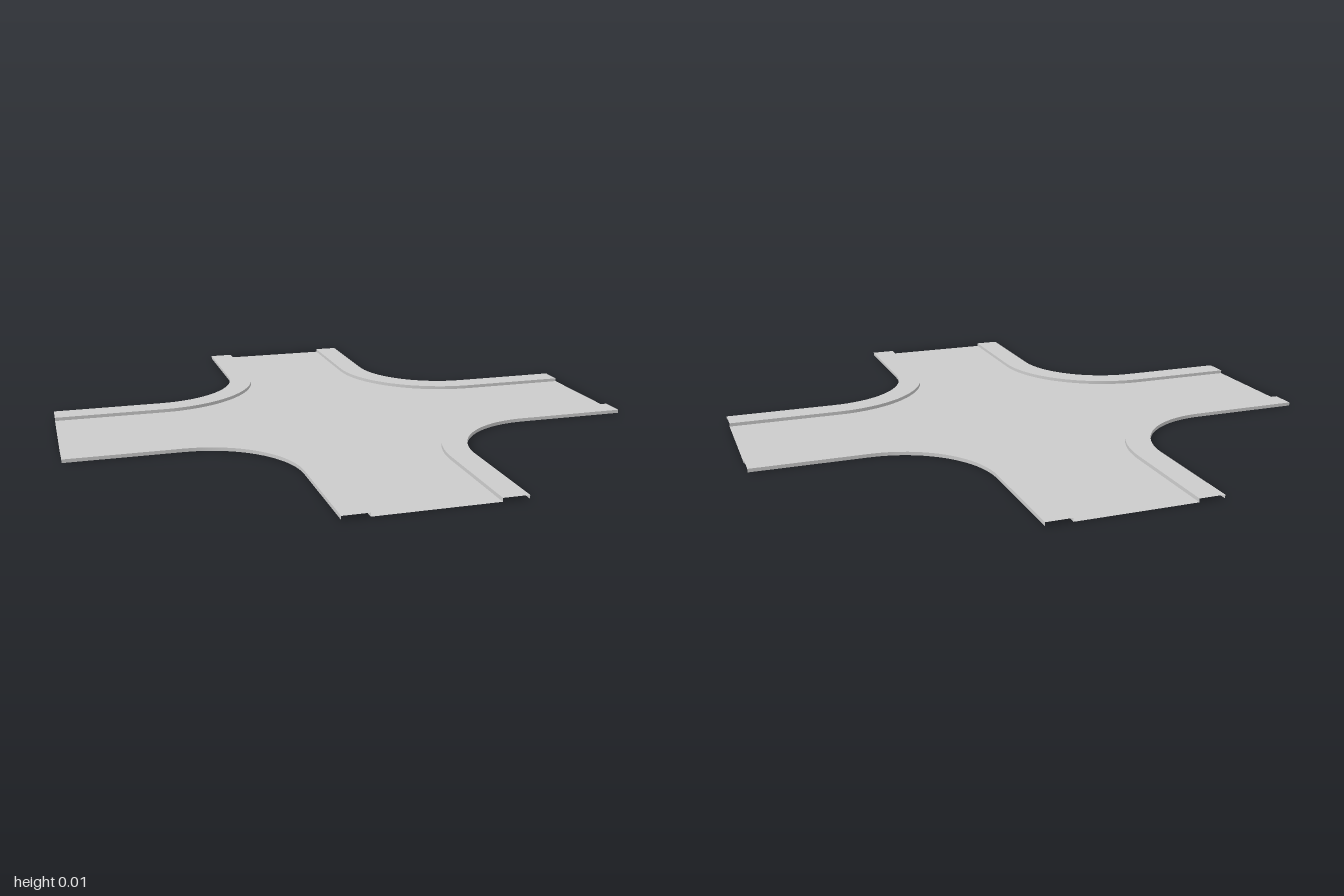
import * as THREE from 'three';

const C = 0.61;        // centre of the corner arcs in x and z
const R_OUTER = 0.324; // radius of the pavement's outer edge
const R_KERB = 0.41;   // radius of the kerb, next to the road
const H = 0.012;       // pavement height
const STEPS = 20;

// Line in the +x +z quadrant: straight from one arm end, round the corner, straight to the other
function cornerLine(r) {
  const points = [new THREE.Vector2(1, C - r)];
  for (let i = 0; i <= STEPS; i++) {
    const a = -Math.PI / 2 * (1 + i / STEPS);
    points.push(new THREE.Vector2(C + r * Math.cos(a), C + r * Math.sin(a)));
  }
  points.push(new THREE.Vector2(C - r, 1));
  return points;
}

// Ribbon between two corner lines, each given as [radius, height]
function ribbon([rA, yA], [rB, yB]) {
  const a = cornerLine(rA), b = cornerLine(rB);
  const positions = [], index = [];
  a.forEach((p, i) => {
    positions.push(p.x, yA, p.y, b[i].x, yB, b[i].y);
    if (i > 0) {
      const k = 2 * i;
      index.push(k - 2, k - 1, k, k - 1, k + 1, k);
    }
  });
  const geometry = new THREE.BufferGeometry();
  geometry.setAttribute('position', new THREE.Float32BufferAttribute(positions, 3));
  geometry.setIndex(index);
  geometry.computeVertexNormals();
  return geometry;
}

export function createModel() {
  const model = new THREE.Group();
  model.name = 'crossroads';
  const material = new THREE.MeshStandardMaterial({ color: 0xcccccc, side: THREE.DoubleSide });

  // Flat road surface, outlined by the four kerb lines
  const outline = [];
  for (let q = 0; q < 4; q++) {
    for (const p of cornerLine(R_KERB)) {
      outline.push(p.rotateAround(new THREE.Vector2(), q * Math.PI / 2));
    }
  }
  // The corner lines run from +x to +z, so the quarters follow on from each other
  const roadGeometry = new THREE.ShapeGeometry(new THREE.Shape(outline));
  roadGeometry.rotateX(-Math.PI / 2);
  const road = new THREE.Mesh(roadGeometry, material);
  road.name = 'road';
  model.add(road);

  // Raised pavement at each corner: outer wall, top and kerb, open below and at the ends
  const parts = {
    outerWall: ribbon([R_OUTER, 0], [R_OUTER, H]),
    pavementTop: ribbon([R_OUTER, H], [R_KERB, H]),
    kerb: ribbon([R_KERB, H], [R_KERB, 0]),
  };
  for (let q = 0; q < 4; q++) {
    const pavement = new THREE.Group();
    pavement.name = `pavement${q + 1}`;
    pavement.rotation.y = q * Math.PI / 2;
    for (const [name, geometry] of Object.entries(parts)) {
      const mesh = new THREE.Mesh(geometry, material);
      mesh.name = name;
      pavement.add(mesh);
    }
    model.add(pavement);
  }
  return model;
}
